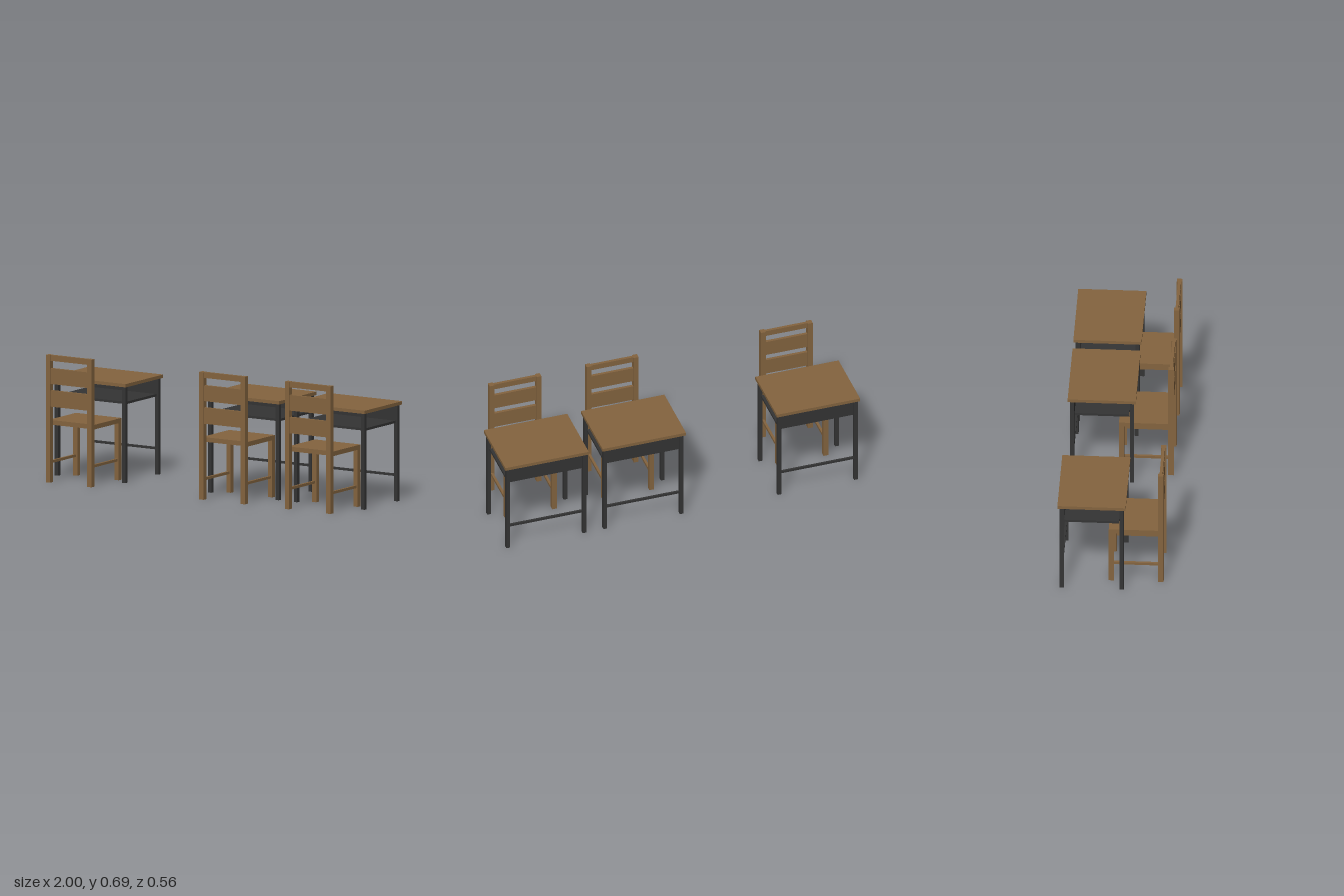
import * as THREE from 'three';

const wood = new THREE.MeshStandardMaterial({ color: 0x84643f });
wood.name = 'brown wood';
const metal = new THREE.MeshStandardMaterial({ color: 0x343434 });
metal.name = 'dark metal';

// Box given by its lower and upper limits on each axis
function block(parent, name, material, [x0, x1], [y0, y1], [z0, z1]) {
  const mesh = new THREE.Mesh(new THREE.BoxGeometry(x1 - x0, y1 - y0, z1 - z0), material);
  mesh.position.set((x0 + x1) / 2, (y0 + y1) / 2, (z0 + z1) / 2);
  mesh.name = name;
  parent.add(mesh);
}

// The same box on the right and on the left
function pair(parent, name, material, [x0, x1], y, z) {
  block(parent, name + 'Left', material, [x0, x1], y, z);
  block(parent, name + 'Right', material, [-x1, -x0], y, z);
}

function createDesk() {
  const desk = new THREE.Group();
  desk.name = 'desk';
  block(desk, 'deskTop', wood, [-0.235, 0.235], [0.522, 0.54], [-0.282, 0.083]);
  pair(desk, 'frontLeg', metal, [0.205, 0.226], [0, 0.522], [0.051, 0.073]);
  pair(desk, 'backLeg', metal, [0.205, 0.226], [0, 0.522], [-0.27, -0.248]);
  // Open storage tray with a panel closing its back
  block(desk, 'tray', metal, [-0.214, 0.214], [0.424, 0.437], [-0.247, 0.047]);
  block(desk, 'backPanel', metal, [-0.205, 0.205], [0.424, 0.522], [-0.259, -0.246]);
  block(desk, 'footRail', metal, [-0.205, 0.205], [0.135, 0.147], [-0.265, -0.253]);
  return desk;
}

function createChair() {
  const chair = new THREE.Group();
  chair.name = 'chair';
  block(chair, 'seat', wood, [-0.146, 0.146], [0.31, 0.335], [-0.012, 0.252]);
  pair(chair, 'backPost', wood, [0.119, 0.146], [0, 0.692], [0.252, 0.282]);
  pair(chair, 'seatLeg', wood, [0.119, 0.146], [0, 0.31], [-0.012, 0.016]);
  pair(chair, 'sideStretcher', wood, [0.126, 0.139], [0.102, 0.116], [0.016, 0.252]);
  // Backrest slats between the posts
  const slats = [[0.412, 0.5], [0.535, 0.62], [0.661, 0.692]];
  slats.forEach((y, i) => block(chair, 'backSlat' + (i + 1), wood, [-0.119, 0.119], y, [0.259, 0.275]));
  return chair;
}

export function createModel() {
  const model = new THREE.Group();
  model.name = 'classroomDesks';
  [-0.765, 0.217, 0.765].forEach((x, i) => {
    const set = new THREE.Group();
    set.name = 'deskSet' + (i + 1);
    set.add(createDesk(), createChair());
    set.position.x = x;
    model.add(set);
  });
  return model;
}
